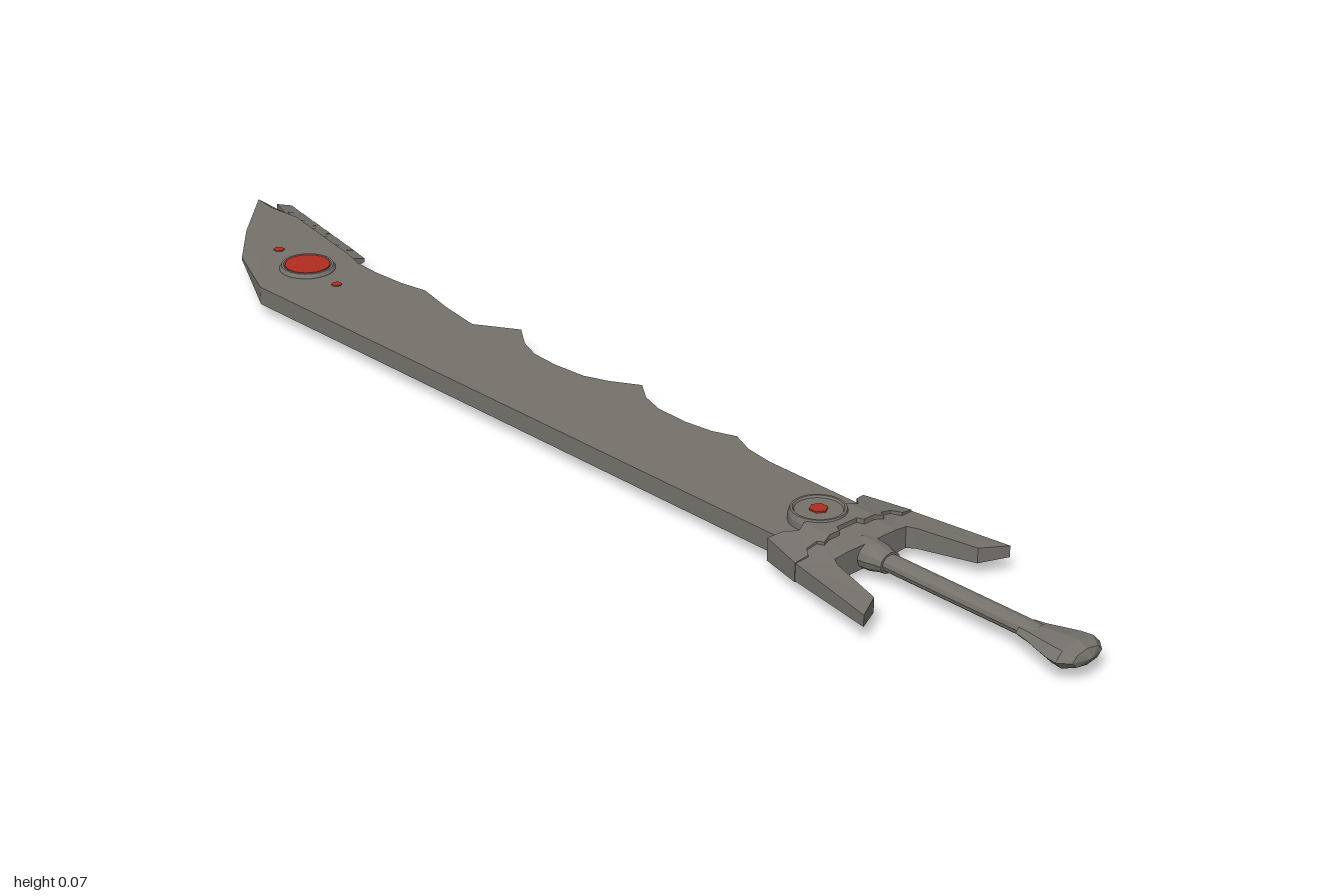
import * as THREE from 'three';

const CY = 0.04;   // mid plane height
const GX = -0.025; // grip axis

export function createModel() {
  const steel = new THREE.MeshStandardMaterial({ color: 0x75726c });
  steel.name = 'steel grey';
  const red = new THREE.MeshStandardMaterial({ color: 0xb22c20 });
  red.name = 'jewel red';
  const root = new THREE.Group();
  root.name = 'sword';

  const add = (name, geo, mat = steel) => {
    const m = new THREE.Mesh(geo, mat);
    m.name = name;
    root.add(m);
    return m;
  };

  // Flat plate from outline points [x, z, halfThickness], symmetric about the mid plane
  const plate = (pts, h0 = 0.015) => {
    let p = pts.map(([x, z, h = h0]) => ({ v: new THREE.Vector2(x, -z), h }));
    if (THREE.ShapeUtils.isClockWise(p.map(q => q.v))) p.reverse();
    const pos = [];
    const put = (q, s) => pos.push(q.v.x, CY + s * q.h, -q.v.y);
    for (const [a, b, c] of THREE.ShapeUtils.triangulateShape(p.map(q => q.v), [])) {
      [a, b, c].forEach(i => put(p[i], 1));
      [c, b, a].forEach(i => put(p[i], -1));
    }
    p.forEach((a, i) => {
      const b = p[(i + 1) % p.length];
      put(a, -1); put(b, -1); put(b, 1);
      put(a, -1); put(b, 1); put(a, 1);
    });
    const g = new THREE.BufferGeometry();
    g.setAttribute('position', new THREE.Float32BufferAttribute(pos, 3));
    g.computeVertexNormals();
    return g;
  };

  // Blade with scalloped edge
  add('blade', plate([
    [-0.105, 0.52], [-0.105, -0.68], [-0.015, -0.80], [0.115, -0.93],
    [0.12, -0.87], [0.085, -0.69], [0.073, -0.65], [0.07, -0.60], [0.073, -0.54],
    [0.082, -0.49], [0.065, -0.42], [0.052, -0.34], [0.095, -0.272],
    [0.065, -0.23], [0.05, -0.19], [0.047, -0.14], [0.052, -0.08], [0.068, -0.04],
    [0.095, 0.005], [0.07, 0.04], [0.057, 0.08], [0.055, 0.14], [0.062, 0.19],
    [0.077, 0.228], [0.06, 0.27], [0.053, 0.32], [0.052, 0.52],
  ]));

  // Bevel running out to the point
  const E = 0.002;
  add('tipBevel', plate([
    [-0.105, -0.68, 0.015], [-0.035, -0.82, E], [0.04, -0.905, E], [0.14, -1, E],
    [0.12, -0.87, 0.012], [0.115, -0.93, 0.015], [-0.015, -0.80, 0.015],
  ]));

  // Overlapping saw teeth behind the point
  for (let i = 0; i < 6; i++) {
    const t = i / 5, x = 0.085 + 0.04 * t, z = -0.69 - 0.2 * t;
    add('sawTooth', plate([
      [x - 0.01, z + 0.01, 0.012], [x + 0.025, z + 0.012, 0.003],
      [x + 0.04, z - 0.05, E], [x + 0.012, z - 0.055, 0.011],
    ]));
  }

  // Round setting: a bevelled ring with an optional inset disc on both faces
  const ring = (name, x, z, r, h) => {
    const g = new THREE.LatheGeometry([
      [0, -h + 0.003], [r * 0.8, -h + 0.003], [r * 0.85, -h], [r * 0.93, -h],
      [r, -h * 0.75], [r, h * 0.75], [r * 0.93, h], [r * 0.85, h], [r * 0.8, h - 0.003], [0, h - 0.003],
    ].map(p => new THREE.Vector2(...p)), 24).toNonIndexed();
    g.computeVertexNormals();
    add(name, g).position.set(x, CY, z);
  };
  const disc = (name, x, y, z, r, sides = 24) =>
    add(name, new THREE.CylinderGeometry(r, r, 0.004, sides), red).position.set(x, y, z);

  ring('bladeJewelSetting', 0, -0.69, 0.046, 0.022);
  ring('guardJewelSetting', GX, 0.495, 0.044, 0.034);
  for (const s of [-1, 1]) disc('bladeJewel', 0, CY + s * 0.02, -0.69, 0.037);
  disc('guardJewelTop', GX, CY + 0.0315, 0.495, 0.014, 6);
  disc('guardJewelBottom', GX, CY - 0.032, 0.495, 0.024);
  disc('smallStud', 0.012, CY + 0.0145, -0.78, 0.009, 6);
  disc('smallStud', -0.008, CY + 0.0145, -0.605, 0.009, 6);

  // Guard: centre block, then mirrored wings and prongs
  add('guardCentre', plate([
    [GX - 0.045, 0.51], [GX + 0.045, 0.51], [GX + 0.045, 0.56], [GX + 0.025, 0.56],
    [GX + 0.02, 0.55], [GX - 0.02, 0.55], [GX - 0.025, 0.56], [GX - 0.045, 0.56],
  ], 0.031));
  add('guardBack', plate([
    [GX - 0.05, 0.54, 0.025], [GX + 0.05, 0.54, 0.025],
    [GX + 0.05, 0.597, 0.019], [GX - 0.05, 0.597, 0.019],
  ]));
  for (const s of [-1, 1]) {
    const side = pts => plate(pts.map(([x, z, h]) => [GX + s * x, z, h]));
    add('guardWing', side([
      [0.045, 0.51, 0.031], [0.06, 0.515, 0.026], [0.075, 0.498, 0.023], [0.097, 0.49, 0.018],
      [0.118, 0.565, 0.015], [0.095, 0.568, 0.02], [0.085, 0.555, 0.022],
      [0.065, 0.555, 0.026], [0.06, 0.565, 0.027], [0.045, 0.56, 0.031],
    ]));
    add('guardProng', side([
      [0.05, 0.54, 0.025], [0.11, 0.54, 0.014], [0.117, 0.565, 0.014], [0.148, 0.725, 0.009],
      [0.105, 0.703, 0.012], [0.08, 0.61, 0.016], [0.072, 0.597, 0.017], [0.05, 0.597, 0.019],
    ]));
  }

  // Turned parts along the grip axis: profile of [radius, z], flattened in height
  const turned = (name, profile, sides, flat) => {
    let g = new THREE.LatheGeometry(profile.map(p => new THREE.Vector2(...p)), sides);
    g.rotateX(Math.PI / 2).scale(1, flat, 1);
    g = g.toNonIndexed();
    g.computeVertexNormals();
    add(name, g).position.set(GX, CY, 0);
  };
  turned('gripCollar', [[0, 0.58], [0.028, 0.58], [0.026, 0.61], [0.021, 0.625], [0.02, 0.635], [0, 0.635]], 12, 0.8);
  turned('grip', [[0.016, 0.62], [0.016, 0.91]], 12, 0.8);
  turned('pommel', [
    [0, 0.885], [0.022, 0.885], [0.026, 0.905], [0.042, 0.955], [0.045, 0.975], [0.03, 0.992], [0, 1],
  ], 8, 0.42);

  return root;
}
